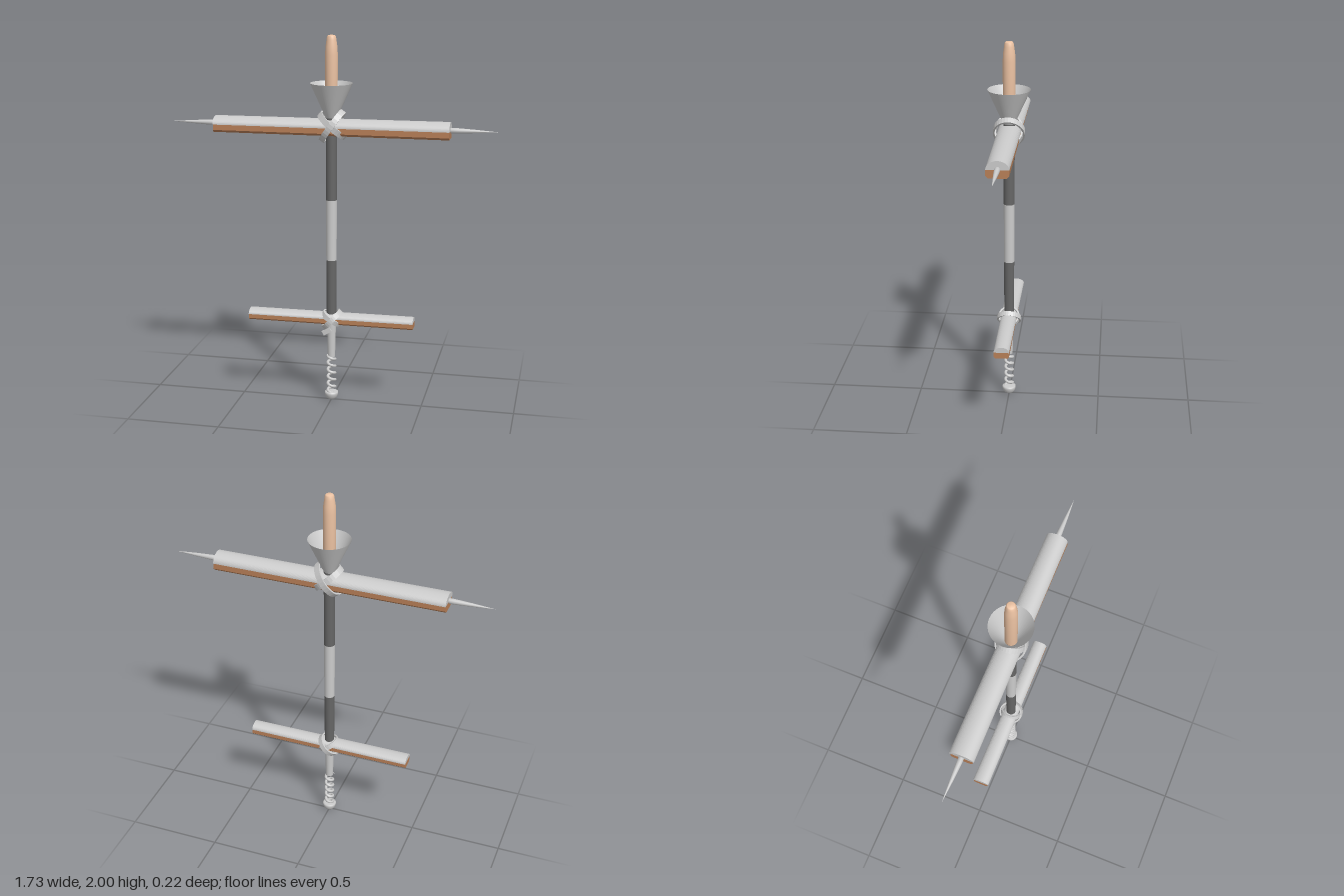
import * as THREE from 'three';

const mat = (color, opts = {}) => new THREE.MeshStandardMaterial({ color, ...opts });
const grey = mat(0xcccccc);
const greyDouble = mat(0xcccccc, { side: THREE.DoubleSide });
const dark = mat(0x666666);
const wood = mat(0xb98058);
const pale = mat(0xeec4a4);

function add(parent, name, geometry, material, x = 0, y = 0, z = 0) {
  const mesh = new THREE.Mesh(geometry, material);
  mesh.name = name;
  mesh.position.set(x, y, z);
  parent.add(mesh);
  return mesh;
}

const lathe = (points, n = 32) =>
  new THREE.LatheGeometry(points.map(([r, y]) => new THREE.Vector2(r, y)), n);

// Extrudes a z-y cross-section along x, centred on the origin
function alongX(shape, length) {
  const g = new THREE.ExtrudeGeometry(shape, { depth: length, bevelEnabled: false, curveSegments: 20 });
  return g.translate(0, 0, -length / 2).rotateY(Math.PI / 2);
}

// Crossbar: chamfered wooden base with a rounded grey upper half
function crossbar(name, length, halfWidth, baseHeight, domeHeight, taper) {
  const group = new THREE.Group();
  group.name = name;
  const w = halfWidth * 0.93, c = halfWidth * 0.2;
  const base = new THREE.Shape();
  base.moveTo(-w, 0);
  base.lineTo(-w, -baseHeight + c);
  base.lineTo(-w + c, -baseHeight);
  base.lineTo(w - c, -baseHeight);
  base.lineTo(w, -baseHeight + c);
  base.lineTo(w, 0);
  add(group, 'woodenBase', alongX(base, length), wood);
  const dome = new THREE.Shape();
  dome.absellipse(0, 0, halfWidth, domeHeight, 0, Math.PI, false);
  const domeGeo = alongX(dome, length);
  // Slightly wider on the -x end, slightly taller on the +x end
  const p = domeGeo.attributes.position;
  for (let i = 0; i < p.count; i++) {
    const t = p.getX(i) / (length / 2);
    p.setZ(i, p.getZ(i) * (1 - taper * t));
    p.setY(i, p.getY(i) * (1 + taper * t));
  }
  domeGeo.computeVertexNormals();
  add(group, 'roundedTop', domeGeo, grey);
  return group;
}

// Flat strap looped round a joint at a slant
function strap(parent, name, rx, rz, width, angle, x, y) {
  const t = 0.009;
  const ring = new THREE.Shape().absellipse(0, 0, rx, rz, 0, Math.PI * 2, false);
  ring.holes.push(new THREE.Path().absellipse(0, 0, rx - t, rz - t, 0, Math.PI * 2, true));
  const g = new THREE.ExtrudeGeometry(ring, { depth: width, bevelEnabled: false, curveSegments: 16 });
  g.translate(0, 0, -width / 2).rotateX(Math.PI / 2).rotateZ(angle);
  add(parent, name, g, grey, x, y);
}

export function createModel() {
  const model = new THREE.Group();
  model.name = 'crossedStaff';

  // Pole in bands: [bottom y, top y, bottom radius, top radius, material]
  [[0.25, 0.49, 0.02, 0.026, grey], [0.49, 0.8, 0.026, 0.028, dark],
    [0.8, 1.13, 0.028, 0.029, grey], [1.13, 1.58, 0.029, 0.03, dark]]
    .forEach(([y0, y1, r0, r1, m], i) =>
      add(model, `poleSection${i + 1}`, new THREE.CylinderGeometry(r1, r0, y1 - y0, 24), m, 0, (y0 + y1) / 2));

  // Spring below the pole
  const coil = [];
  const turns = 5.5;
  for (let i = 0; i <= turns * 16; i++) {
    const a = (i / 16) * Math.PI * 2;
    coil.push(new THREE.Vector3(Math.cos(a) * 0.02, 0.035 + 0.22 * i / (turns * 16), Math.sin(a) * 0.02));
  }
  add(model, 'spring', new THREE.TubeGeometry(new THREE.CatmullRomCurve3(coil), 180, 0.008, 8), grey);

  // Rounded foot with a flat top
  add(model, 'foot', lathe([[0, 0], [0.014, 0.002], [0.026, 0.009], [0.033, 0.019], [0.036, 0.03],
    [0.037, 0.036], [0.037, 0.045], [0.03, 0.047], [0, 0.047]]), grey);

  // Crossbars
  const upper = crossbar('upperCrossbar', 1.255, 0.061, 0.042, 0.043, 0.06);
  upper.position.set(-0.003, 1.523, 0);
  model.add(upper);
  const lower = crossbar('lowerCrossbar', 0.905, 0.043, 0.032, 0.028, 0.06);
  lower.position.set(-0.002, 0.476, 0);
  model.add(lower);

  // Spikes on both ends of the upper bar
  for (const s of [-1, 1]) {
    const spike = lathe([[0, 0], [0.015, 0], [0.014, 0.06], [0.009, 0.15], [0, 0.267]], 16);
    const mesh = add(model, s > 0 ? 'leftSpike' : 'rightSpike', spike, grey, s * 0.6, 1.525);
    mesh.rotation.z = -s * Math.PI / 2;
  }

  // Crossed straps binding the joints
  strap(model, 'upperStrapRising', 0.1, 0.083, 0.032, 0.95, 0.005, 1.527);
  strap(model, 'upperStrapFalling', 0.095, 0.075, 0.032, -0.72, 0.008, 1.532);
  strap(model, 'lowerStrapRising', 0.068, 0.066, 0.026, 0.8, 0.003, 0.465);
  strap(model, 'lowerStrapFalling', 0.062, 0.058, 0.026, -0.55, 0.004, 0.472);
  add(model, 'lowerStrapTail', new THREE.BoxGeometry(0.05, 0.026, 0.008), grey, -0.02, 0.402, 0.03)
    .rotation.z = 0.5;

  // Open funnel and the pale rod rising from it
  add(model, 'funnel', lathe([[0.018, 1.545], [0.112, 1.752]], 40), greyDouble);
  add(model, 'topRod', lathe([[0, 1.58], [0.032, 1.58], [0.033, 1.9], [0.031, 1.94], [0.026, 1.975],
    [0.023, 1.993], [0.018, 1.999], [0, 2]]), pale);

  return model;
}
